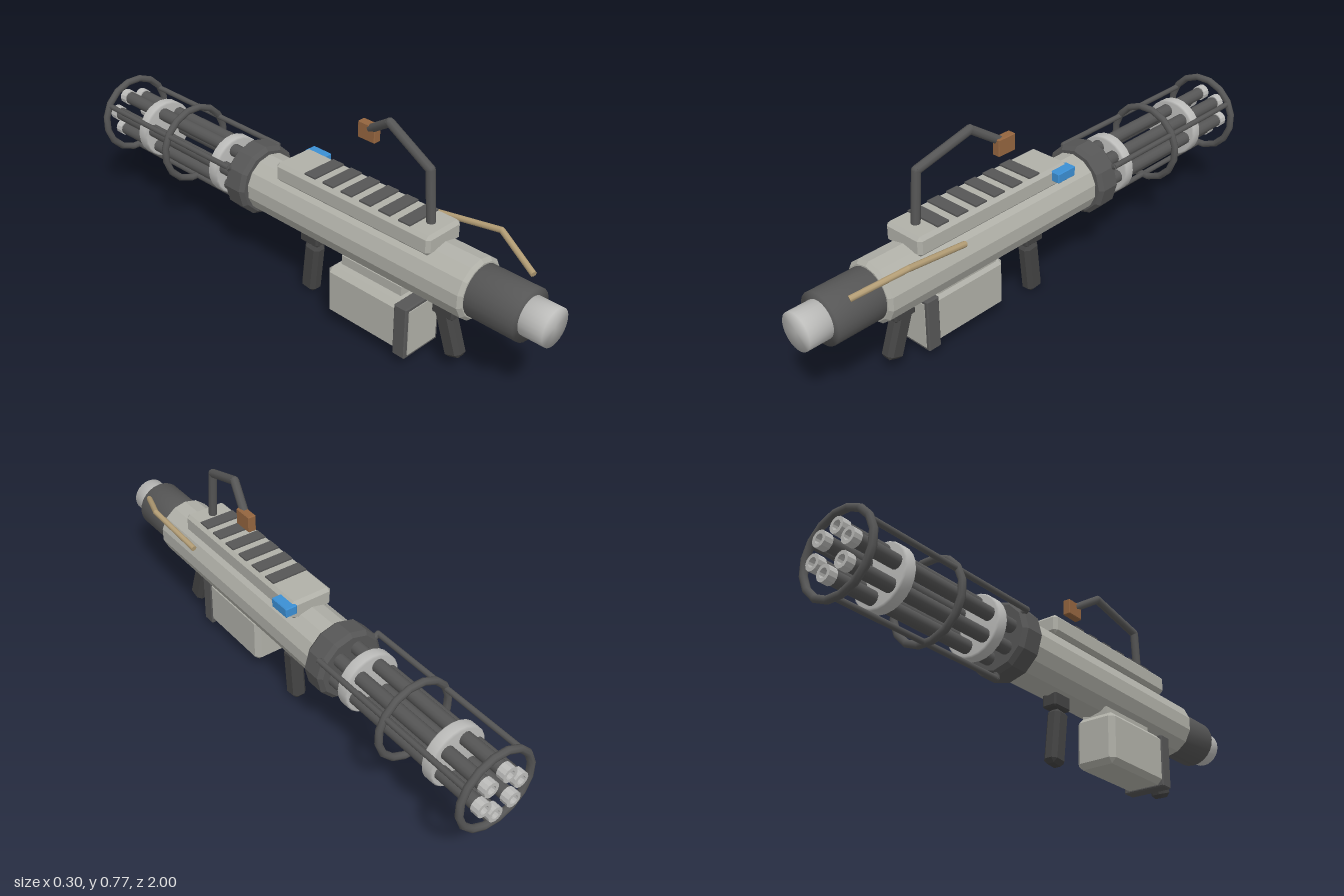
import * as THREE from 'three';
import { mergeVertices } from 'three/addons/utils/BufferGeometryUtils.js';
import { ConvexGeometry } from 'three/addons/geometries/ConvexGeometry.js';

const mat = (name, color) => {
  const m = new THREE.MeshStandardMaterial({ color });
  m.name = name;
  return m;
};
const AXIS = 0.348; // height of the barrel axis

export function createModel() {
  const model = new THREE.Group();
  const shell = mat('warm grey shell', 0xb0b0a8);
  const pale = mat('pale grey metal', 0xbcbcba);
  const dark = mat('dark grey metal', 0x565656);
  const black = mat('charcoal grip', 0x434343);
  const blue = mat('blue', 0x3b8fd4);
  const brown = mat('brown', 0x94653f);
  const tan = mat('tan', 0xb39d75);

  const add = (name, geo, material, x = 0, y = 0, z = 0) => {
    const m = new THREE.Mesh(geo, material);
    m.name = name;
    m.position.set(x, y, z);
    model.add(m);
    return m;
  };

  // Box with all edges chamfered by c
  const chamferBox = (w, h, d, c) => {
    const pts = [];
    for (const x of [-1, 1]) for (const y of [-1, 1]) for (const z of [-1, 1])
      for (let k = 0; k < 3; k++) {
        pts.push(new THREE.Vector3(
          x * (w / 2 - (k === 0 ? 0 : c)),
          y * (h / 2 - (k === 1 ? 0 : c)),
          z * (d / 2 - (k === 2 ? 0 : c))));
      }
    return new ConvexGeometry(pts);
  };

  // Turned part along z from [radius, z] pairs, listed from low z to high z
  const turned = (profile, sides, smooth = false) => {
    let g = new THREE.LatheGeometry(profile.map(([r, z]) => new THREE.Vector2(r, z)), sides);
    g.rotateX(Math.PI / 2);
    // Lathe places z mirrored vertices consistently: y becomes z
    if (smooth) {
      g.deleteAttribute('uv');
      g.deleteAttribute('normal');
      g = mergeVertices(g, 1e-5);
    } else {
      g = g.toNonIndexed();
    }
    g.computeVertexNormals();
    return g;
  };
  const drum = (r, z0, z1, c) => [[0, z0], [r - c, z0], [r, z0 + c], [r, z1 - c], [r - c, z1], [0, z1]];
  const plain = (r, z0, z1) => [[0, z0], [r, z0], [r, z1], [0, z1]];

  // Straight round bar between two points
  const bar = (name, a, b, r, material, sides = 8) => {
    const p = new THREE.Vector3(...a), q = new THREE.Vector3(...b);
    const dir = q.clone().sub(p);
    const m = add(name, new THREE.CylinderGeometry(r, r, dir.length(), sides), material);
    m.position.copy(p).add(q).multiplyScalar(0.5);
    m.quaternion.setFromUnitVectors(new THREE.Vector3(0, 1, 0), dir.normalize());
    return m;
  };
  const bentBar = (name, pts, r, material) => {
    for (let i = 0; i < pts.length - 1; i++) {
      bar(name, pts[i], pts[i + 1], r, material);
      if (i > 0) add(name + 'Joint', new THREE.SphereGeometry(r, 8, 6), material, ...pts[i]);
    }
  };

  // Main tube and rear end
  add('body', turned(drum(0.107, -0.21, 0.735, 0.012), 14), shell, 0, AXIS);
  add('rearSleeve', turned(plain(0.089, 0.7, 0.915), 24, true), dark, 0, AXIS);
  add('rearCap', turned(plain(0.065, 0.9, 1.0), 24, true), pale, 0, AXIS);
  add('collar', turned(drum(0.13, -0.3, -0.205, 0.014), 12), dark, 0, AXIS);

  // Barrel cluster
  for (let i = 0; i < 6; i++) {
    const a = i * Math.PI / 3 - Math.PI / 12;
    const x = 0.072 * Math.cos(a), y = AXIS + 0.072 * Math.sin(a);
    bar('barrel', [x, y, -0.28], [x, y, -0.975], 0.024, dark, 12);
    add('muzzle', turned([[0.016, -0.97], [0.016, -1], [0.028, -1], [0.028, -0.97], [0.02, -0.97]], 12), pale, x, y);
  }
  for (const z of [-0.385, -0.79])
    add('barrelClamp', turned(drum(0.109, z - 0.023, z + 0.023, 0.006), 24, true), pale, 0, AXIS);

  // Guard rings and the rods carrying them
  for (const z of [-0.61, -0.97]) {
    const ring = add('guardRing', new THREE.TorusGeometry(0.141, 0.013, 8, 16), dark, 0, AXIS, z);
    ring.rotation.z = Math.PI / 16;
  }
  for (const deg of [30, 150, 270]) {
    const a = THREE.MathUtils.degToRad(deg);
    const x = 0.138 * Math.cos(a), y = AXIS + 0.138 * Math.sin(a);
    bar('guardRod', [x, y, -0.28], [x, y, -0.97], 0.01, dark);
  }
  for (const deg of [30, 150, 270]) {
    const a = THREE.MathUtils.degToRad(deg);
    bar('rodBracket', [0.1 * Math.cos(a), AXIS + 0.1 * Math.sin(a), -0.285],
      [0.142 * Math.cos(a), AXIS + 0.142 * Math.sin(a), -0.285], 0.011, dark);
  }

  // Top housing with slats and a blue sight block
  add('topHousing', chamferBox(0.16, 0.07, 0.67, 0.012), shell, -0.002, 0.465, 0.252);
  for (let i = 0; i < 6; i++)
    add('ventSlat', new THREE.BoxGeometry(0.136, 0.009, 0.048), dark, -0.002, 0.5015, 0.07 + i * 0.0815);
  add('sightBlock', chamferBox(0.045, 0.036, 0.083, 0.003), blue, 0.085, 0.475, -0.045);

  // Bent arm with a small block at its tip
  bentBar('topArm', [[-0.003, 0.49, 0.53], [-0.003, 0.678, 0.515], [0.03, 0.754, 0.32], [0.06, 0.685, 0.215]], 0.0155, dark);
  add('armBlock', chamferBox(0.03, 0.06, 0.074, 0.003), brown, 0.062, 0.672, 0.206);

  // Tan side lever
  bentBar('sideLever', [[0.13, 0.445, 0.45], [0.143, 0.478, 0.69], [0.078, 0.428, 0.86]], 0.0105, tan);

  // Offset magazine with dark rear frame
  add('magazine', chamferBox(0.156, 0.185, 0.34, 0.018), shell, -0.036, 0.139, 0.36);
  add('magazineFrame', chamferBox(0.165, 0.194, 0.052, 0.004), dark, -0.036, 0.136, 0.518);
  add('magazinePanel', new THREE.BoxGeometry(0.138, 0.168, 0.006), shell, -0.036, 0.136, 0.544);
  add('magazineNeck', new THREE.BoxGeometry(0.1, 0.05, 0.26), shell, -0.02, 0.24, 0.35);

  // Grips with their mounts and the trigger
  const grips = [
    { name: 'rearGrip', y: 0.152, z: 0.63, h: 0.195, d: 0.068, tilt: -0.33, mount: 0.615 },
    { name: 'frontGrip', y: 0.101, z: 0.02, h: 0.196, d: 0.066, tilt: 0.11, mount: 0.023 },
  ];
  for (const g of grips) {
    const m = add(g.name, chamferBox(0.054, g.h, g.d, 0.014), black, -0.003, g.y, g.z);
    m.rotation.x = g.tilt;
    add(g.name + 'Mount', chamferBox(0.056, 0.055, 0.085, 0.006), black, -0.003, 0.228, g.mount);
  }
  bar('trigger', [-0.003, 0.25, 0.565], [-0.003, 0.212, 0.575], 0.007, black, 6);

  return model;
}
